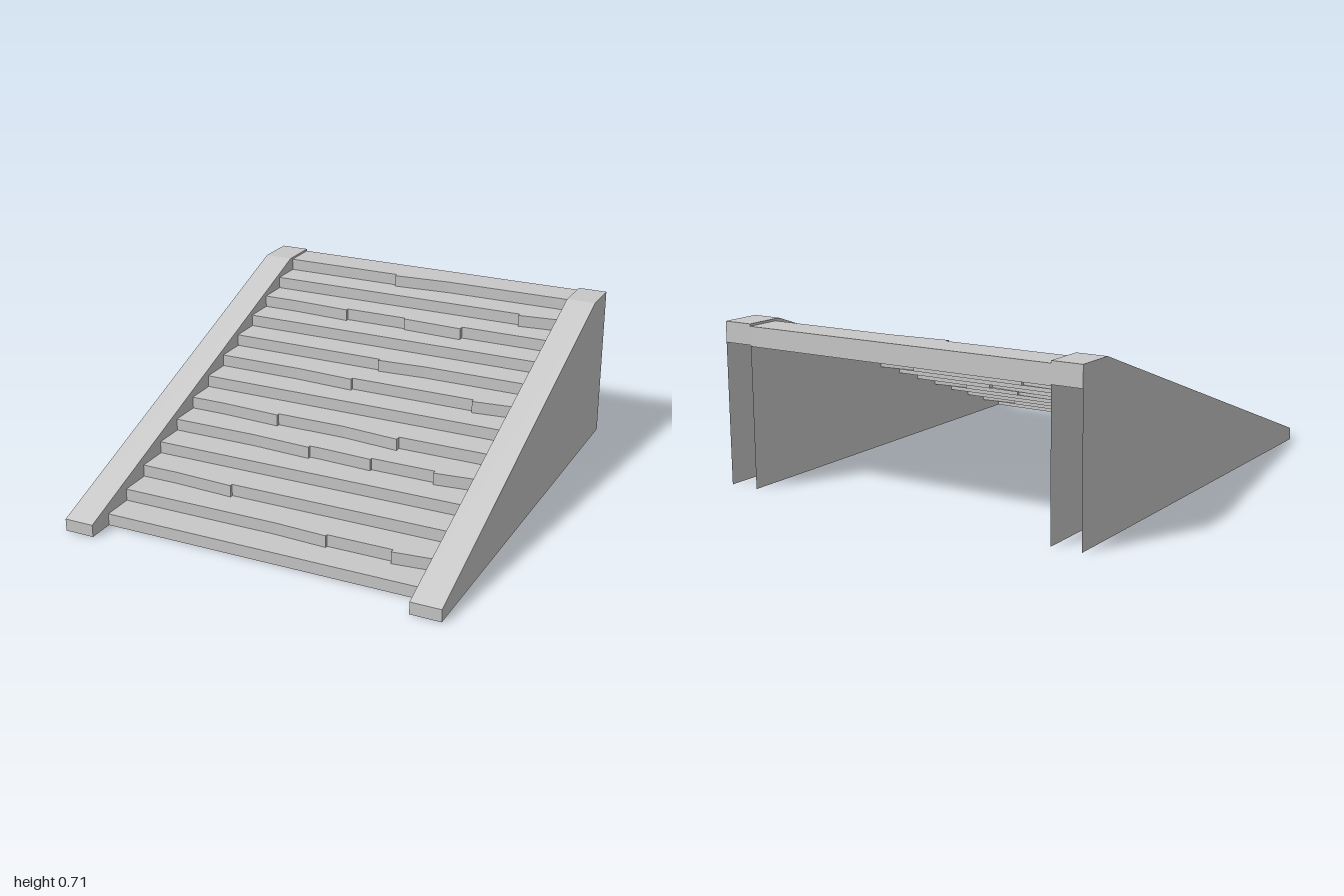
import * as THREE from 'three';

// Mesh made of flat convex faces, each a loop of [x, y, z] corners
function faceMesh(name, faces, material) {
  const pos = [];
  for (const f of faces) {
    for (let i = 1; i < f.length - 1; i++) pos.push(...f[0], ...f[i], ...f[i + 1]);
  }
  const geo = new THREE.BufferGeometry();
  geo.setAttribute('position', new THREE.Float32BufferAttribute(pos, 3));
  geo.computeVertexNormals();
  const mesh = new THREE.Mesh(geo, material);
  mesh.name = name;
  return mesh;
}

const HALF = 0.727;               // half width of the steps
const OUTER = 0.862;              // outer face of the side walls
const STEPS = 13;
const RISE = 0.7 / STEPS;
const RUN = 0.1435;
const FRONT = 0.88;

// Worn slabs: [x, protrusion] along the front edge; a repeated x is a jog
const slabLeft = [[-0.56, 0], [-0.28, 0.015], [-0.28, 0]];
const slabMid = [[0, 0], [0.245, 0.012], [0.245, 0]];
const slabEnd = [[0.54, 0], [0.54, 0.02], [HALF, 0]];
const slabInner = [[-0.33, 0], [-0.05, 0.015], [-0.05, 0]];
const slabWide = [[0.04, 0], [0.31, 0.025], [0.31, 0]];
const wear = {
  1: [...slabMid, ...slabEnd],
  2: slabLeft,
  4: [...slabInner, ...slabMid, ...slabEnd],
  5: [...slabLeft, ...slabWide],
  7: [...slabInner, ...slabEnd],
  8: [[0.02, 0], [0.02, 0.015], [0.24, 0]],
  10: [...slabLeft, [0.02, 0], [0.02, 0.012], ...slabWide.slice(1)],
  11: slabEnd,
  12: [[-0.15, 0], [-0.15, 0.02], [0.12, 0]],
};

function makeStep(i, material) {
  const y0 = i * RISE, y1 = y0 + RISE;
  const z = FRONT - i * RUN;
  const back = i === STEPS - 1 ? -1 : z - RUN;
  const edge = [[-HALF, 0], ...(wear[i] || []), [HALF, 0]];
  const faces = [];
  for (let k = 0; k < edge.length - 1; k++) {
    const [xa, pa] = edge[k], [xb, pb] = edge[k + 1];
    if (xa === xb && pa === pb) continue;
    const za = z + pa, zb = z + pb;
    // riser
    faces.push([[xa, y0, za], [xb, y0, zb], [xb, y1, zb], [xa, y1, za]]);
    // tread
    if (xa !== xb) faces.push([[xa, y1, za], [xb, y1, zb], [xb, y1, back], [xa, y1, back]]);
  }
  return faceMesh('step' + (i + 1), faces, material);
}

// Hollow side wall, open underneath and at the back below a short lip
function makeWall(name, xa, xb, material) {
  const top = 0.71, nose = 0.055, crest = -0.82, lip = top - 0.09;
  const profile = [[1, 0], [-1, 0], [-1, top], [crest, top], [1, nose]];
  const cover = [[1, 0], [1, nose], [crest, top], [-1, top], [-1, lip]];
  const faces = [
    profile.map(([z, y]) => [xb, y, z]),
    profile.map(([z, y]) => [xa, y, z]).reverse(),
  ];
  for (let i = 0; i < cover.length - 1; i++) {
    const [z0, y0] = cover[i], [z1, y1] = cover[i + 1];
    faces.push([[xa, y0, z0], [xb, y0, z0], [xb, y1, z1], [xa, y1, z1]]);
  }
  return faceMesh(name, faces, material);
}

export function createModel() {
  const stone = new THREE.MeshStandardMaterial({ color: 0xc8c8c8 });
  stone.name = 'grey stone';
  stone.side = THREE.DoubleSide;

  const model = new THREE.Group();
  model.name = 'staircase';

  // Flight of steps, a folded sheet that is open below
  const steps = new THREE.Group();
  steps.name = 'steps';
  for (let i = 0; i < STEPS; i++) steps.add(makeStep(i, stone));
  model.add(steps);

  // Lip at the back of the top step
  model.add(faceMesh('backLip', [[
    [HALF, 0.615, -1], [-HALF, 0.615, -1], [-HALF, 0.7, -1], [HALF, 0.7, -1],
  ]], stone));

  // Side walls
  model.add(makeWall('leftWall', HALF, OUTER, stone));
  model.add(makeWall('rightWall', -OUTER, -HALF, stone));
  return model;
}
